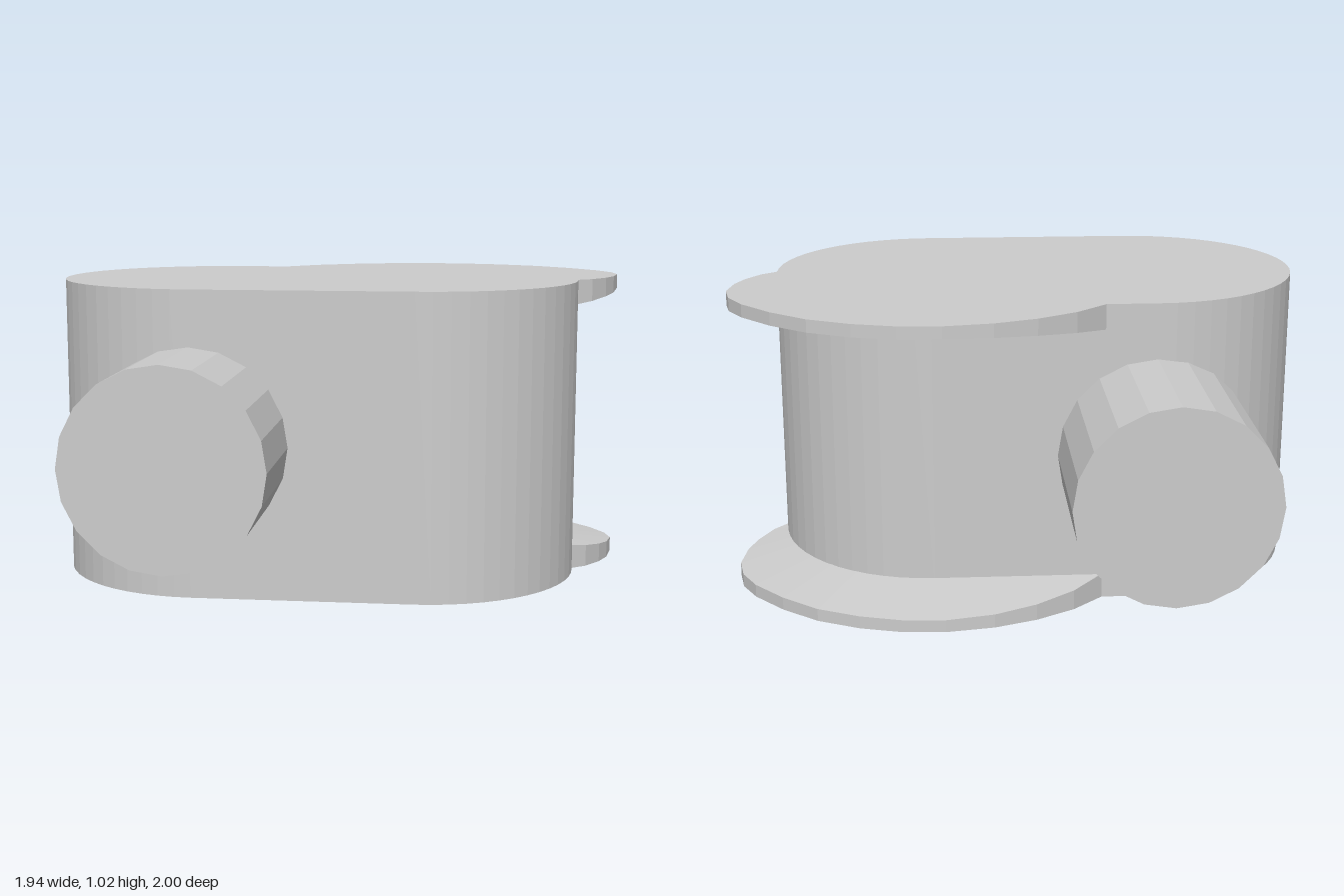
import * as THREE from 'three';

const HEIGHT = 1.025, RADIUS = 0.53, MID_Z = 0.04, LEFT_X = -0.445, RIGHT_X = 0.29;
const material = new THREE.MeshStandardMaterial({ color: 0xcccccc, flatShading: true });

function add(group, name, geometry) {
  const mesh = new THREE.Mesh(geometry, material);
  mesh.name = name;
  group.add(mesh);
  return mesh;
}

// Oblong block with two rounded ends
function bodyGeometry() {
  const shape = new THREE.Shape();
  shape.absarc(RIGHT_X, -MID_Z, RADIUS, -Math.PI / 2, Math.PI / 2);
  shape.absarc(LEFT_X, -MID_Z, RADIUS, Math.PI / 2, Math.PI * 1.5);
  shape.closePath();
  return new THREE.ExtrudeGeometry(shape, { depth: HEIGHT, bevelEnabled: false, curveSegments: 14 })
    .rotateX(-Math.PI / 2);
}

// Outer edge of the lip (x, z), from the rounded end to the back
const RIM = [
  [0.815, 0.04], [0.87, 0], [0.92, -0.07], [0.95, -0.14], [0.967, -0.24], [0.95, -0.33],
  [0.9, -0.42], [0.8, -0.53], [0.68, -0.625], [0.54, -0.69], [0.4, -0.727], [0.26, -0.735],
  [0.1, -0.71], [-0.04, -0.66], [-0.17, -0.585], [-0.275, -0.488],
];

// Lip that thins with distance from the body; side is 1 for top, -1 for bottom
function lipGeometry(side) {
  const faceY = side > 0 ? HEIGHT : 0;
  const rings = RIM.map(([x, z]) => {
    const cx = THREE.MathUtils.clamp(x, LEFT_X, RIGHT_X);
    const dist = Math.hypot(x - cx, z - MID_Z);
    const k = (RADIUS - 0.01) / dist;
    const ix = cx + (x - cx) * k, iz = MID_Z + (z - MID_Z) * k;
    const rimY = faceY - side * (0.085 - 0.175 * Math.max(0, dist - RADIUS));
    const rootY = faceY - side * 0.085;
    return [[ix, faceY, iz], [x, faceY, z], [x, rimY, z], [ix, rootY, iz]];
  });
  const positions = [];
  for (let i = 0; i < rings.length - 1; i++) {
    for (let k = 0; k < 3; k++) {
      const a = rings[i][k], b = rings[i][k + 1], c = rings[i + 1][k + 1], d = rings[i + 1][k];
      const corners = side > 0 ? [a, b, c, a, c, d] : [a, c, b, a, d, c];
      positions.push(...corners.flat());
    }
  }
  const geometry = new THREE.BufferGeometry();
  geometry.setAttribute('position', new THREE.Float32BufferAttribute(positions, 3));
  geometry.computeVertexNormals();
  return geometry;
}

export function createModel() {
  const group = new THREE.Group();
  group.name = 'housing';

  add(group, 'body', bodyGeometry());
  add(group, 'topLip', lipGeometry(1));
  add(group, 'bottomLip', lipGeometry(-1));

  // Round shaft passing through the body from front to back
  const shaft = add(group, 'shaft', new THREE.CylinderGeometry(0.325, 0.325, 2, 20).rotateX(Math.PI / 2));
  shaft.position.set(LEFT_X, HEIGHT / 2, 0);

  return group;
}
